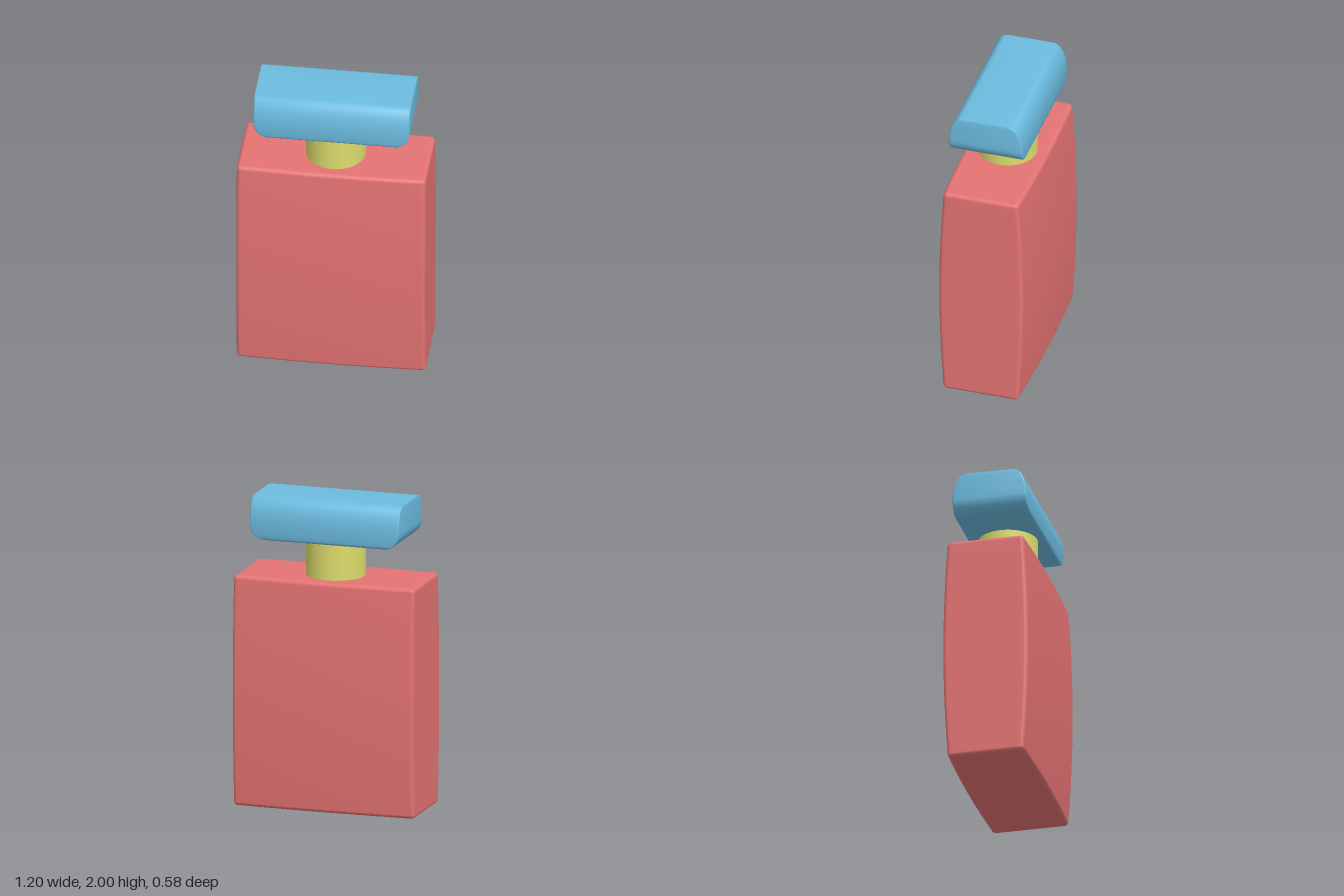
import * as THREE from 'three';
import { mergeVertices, toCreasedNormals } from 'three/addons/utils/BufferGeometryUtils.js';

function part(name, geometry, color) {
  const mesh = new THREE.Mesh(geometry, new THREE.MeshStandardMaterial({ color }));
  mesh.name = name;
  return mesh;
}

// Box with rounded edges and bulging front and back faces, centred on the origin
function bottleGeometry(hx, hy, hz, r) {
  const n = 24, e = 4; // e grid cells at each end carry the edge rounding
  const half = new THREE.Vector3(hx, hy, hz);
  const inner = half.clone().subScalar(r);
  let g = new THREE.BoxGeometry(2, 2, 2, n, n, n);
  g.deleteAttribute('normal');
  g.deleteAttribute('uv');
  g = mergeVertices(g);
  const remap = (t, h) => {
    const k = Math.abs(t) * n / 2, mid = n / 2 - e;
    const s = k <= mid ? (k / mid) * (h - r) : h - r + r * (k - mid) / e;
    return Math.sign(t) * s;
  };
  const pos = g.attributes.position, p = new THREE.Vector3(), c = new THREE.Vector3();
  for (let i = 0; i < pos.count; i++) {
    p.fromBufferAttribute(pos, i);
    p.set(remap(p.x, hx), remap(p.y, hy), remap(p.z, hz));
    c.copy(p).clamp(inner.clone().negate(), inner);
    p.sub(c).setLength(r).add(c);
    const u = p.x / hx, v = p.y / hy;
    p.z *= 1 + (0.015 * (1 - u * u) + 0.03 * (1 - v * v)) / hz;
    pos.setXYZ(i, p.x, p.y, p.z);
  }
  g.computeVertexNormals();
  return g;
}

// Stack of rounded rectangles, each given as [y, half width, half depth]
function loftGeometry(rings, r) {
  const pos = [], idx = [], steps = 4, m = 4 * (steps + 1);
  for (const [y, w, d] of rings) {
    for (let q = 0; q < 4; q++) {
      const sx = q === 0 || q === 3 ? 1 : -1, sz = q < 2 ? 1 : -1;
      for (let k = 0; k <= steps; k++) {
        const a = (q + k / steps) * Math.PI / 2;
        pos.push(sx * (w - r) + r * Math.cos(a), y, sz * (d - r) + r * Math.sin(a));
      }
    }
  }
  const last = (rings.length - 1) * m, bottom = rings.length * m, top = bottom + 1;
  pos.push(0, rings[0][0], 0, 0, rings[rings.length - 1][0], 0);
  for (let i = 0; i < m; i++) {
    const j = (i + 1) % m;
    for (let o = 0; o < last; o += m) {
      idx.push(o + i, o + m + i, o + j, o + j, o + m + i, o + m + j);
    }
    idx.push(bottom, i, j, top, last + j, last + i);
  }
  const g = new THREE.BufferGeometry();
  g.setAttribute('position', new THREE.Float32BufferAttribute(pos, 3));
  g.setIndex(idx);
  return toCreasedNormals(g, Math.PI / 6);
}

export function createModel() {
  const group = new THREE.Group();
  group.name = 'perfumeBottle';

  // Glass body
  const body = part('body', bottleGeometry(0.6, 0.745, 0.245, 0.025), 0xe57373);
  body.position.y = 0.745;
  group.add(body);

  // Round neck
  const neck = part('neck', new THREE.CylinderGeometry(0.19, 0.19, 0.27, 64), 0xdcdc6c);
  neck.position.y = 1.61;
  group.add(neck);

  // Cap: ends curve in at the bottom, front and back curve in at the top
  const rings = [], n = 12;
  for (let i = 0; i <= n; i++) {
    const a = (i / n) * Math.PI / 2, rise = 0.1 * (1 - Math.cos(a));
    const t = 1 - Math.min(1, rise / 0.015);
    rings.push([1.73 + rise, 0.395 + 0.1 * Math.sin(a), 0.225 + 0.015 * Math.sqrt(1 - t * t)]);
  }
  for (let i = 1; i <= n; i++) {
    const a = (i / n) * Math.PI / 2;
    rings.push([1.83 + 0.17 * Math.sin(a), 0.495, 0.158 + 0.082 * Math.cos(a)]);
  }
  group.add(part('cap', loftGeometry(rings, 0.012), 0x6cbce0));

  return group;
}
